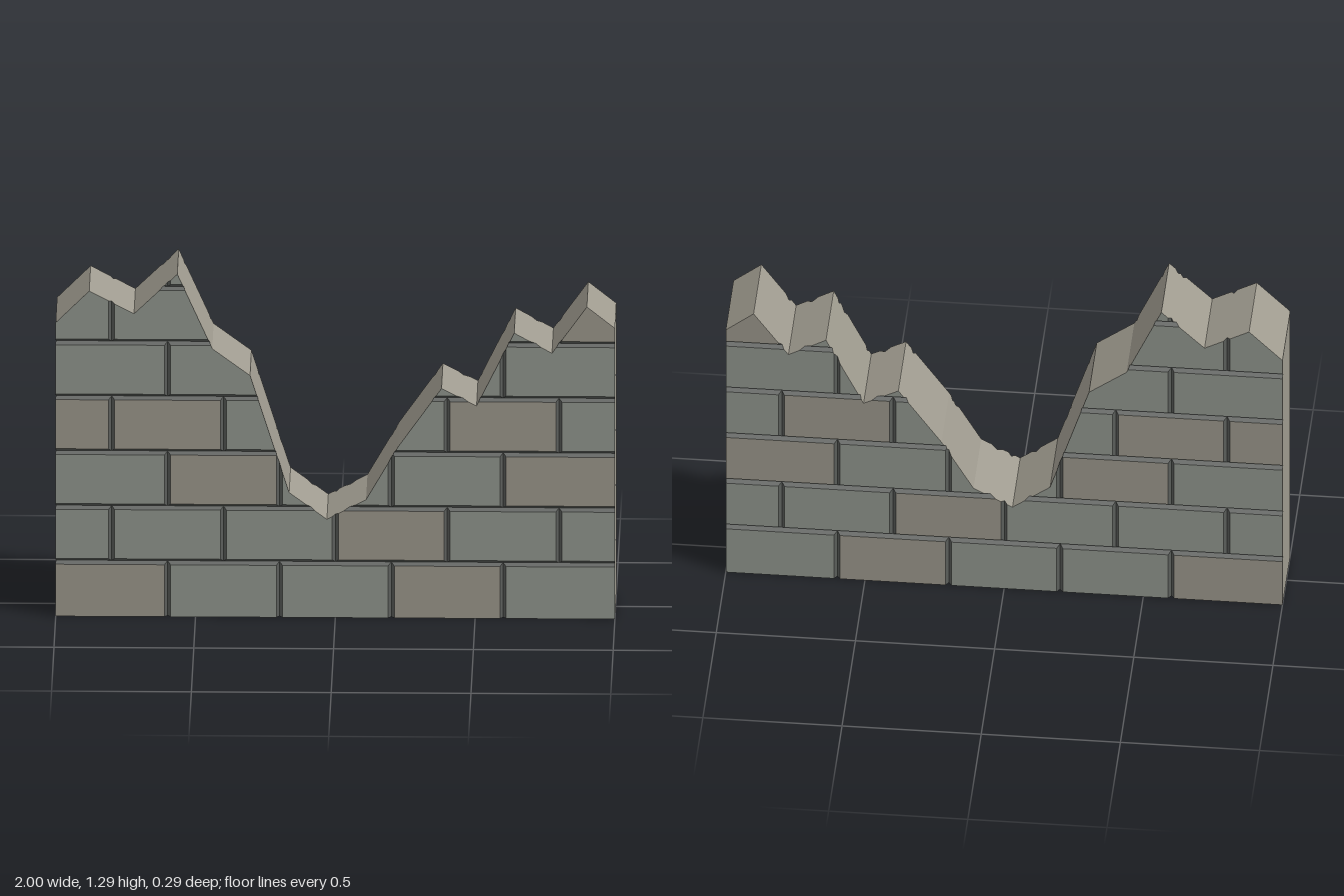
import * as THREE from 'three';

const HALF_DEPTH = 0.145, COURSE = 0.2066, BRICK = 0.4, BEVEL = 0.011, GROOVE = 0.015;

// Jagged broken top edge of the wall, left to right
const RIM = [
  [-1, 1.105], [-0.88, 1.225], [-0.72, 1.14], [-0.565, 1.29], [-0.44, 1.01], [-0.305, 0.91],
  [-0.165, 0.47], [-0.03, 0.37], [0.11, 0.445], [0.225, 0.645], [0.38, 0.865], [0.505, 0.8],
  [0.64, 1.075], [0.775, 1.0], [0.9, 1.175], [1, 1.095],
];

// Tan bricks by index within each course; the others are grey
const TAN = [[0, 3], [3], [1, 4], [0, 1, 4], [], [5], []];

// Keep the part of a convex polygon where side(p) >= 0
function clip(poly, side) {
  const out = [];
  poly.forEach((p, i) => {
    const q = poly[(i + 1) % poly.length], a = side(p), b = side(q);
    if (a >= 0) out.push(p);
    if ((a > 0 && b < 0) || (a < 0 && b > 0)) {
      const t = a / (a - b);
      out.push(p.map((v, k) => v + (q[k] - v) * t));
    }
  });
  return out;
}

function area(poly) {
  return poly.reduce((sum, p, i) => {
    const q = poly[(i + 1) % poly.length];
    return sum + (p[0] * q[1] - q[0] * p[1]) / 2;
  }, 0);
}

function fan(target, poly) {
  for (let i = 1; i < poly.length - 1; i++) target.push(...poly[0], ...poly[i], ...poly[i + 1]);
}

const flip = ([x, y, z]) => [x, y, -z];

// Add a front panel and its back mirror, cut by the rim; close the outer edges through the wall
function addPanel(target, core, panel) {
  for (let s = 0; s < RIM.length - 1; s++) {
    const [ax, ay] = RIM[s], [bx, by] = RIM[s + 1];
    const below = (p) => ay + (by - ay) * (p[0] - ax) / (bx - ax) - p[1];
    let poly = clip(panel, (p) => p[0] - ax);
    poly = clip(poly, (p) => bx - p[0]);
    poly = clip(poly, below);
    if (poly.length < 3 || area(poly) < 1e-8) continue;
    fan(target, poly);
    fan(target, poly.map(flip).reverse());

    const borders = [below, (p) => p[0] - 1, (p) => p[0] + 1, (p) => p[1]];
    poly.forEach((p, i) => {
      const q = poly[(i + 1) % poly.length];
      if (Math.hypot(p[0] - q[0], p[1] - q[1]) < 1e-6) return;
      if (borders.some((f) => Math.abs(f(p)) < 1e-6 && Math.abs(f(q)) < 1e-6)) {
        fan(core, [p, flip(p), flip(q), q]);
      }
    });
  }
}

// One brick: flat face plus four mitred slopes running into the joints
function addBrick(face, joint, core, x0, x1, y0, y1) {
  const l = x0 > -1 ? BEVEL : 0, r = x1 < 1 ? BEVEL : 0, b = y0 > 0 ? BEVEL : 0;
  const zi = HALF_DEPTH, zo = HALF_DEPTH - GROOVE;
  const inner = [[x0 + l, y0 + b, zi], [x1 - r, y0 + b, zi], [x1 - r, y1 - BEVEL, zi], [x0 + l, y1 - BEVEL, zi]];
  const outer = [[x0, y0, zo], [x1, y0, zo], [x1, y1, zo], [x0, y1, zo]];
  addPanel(face, core, inner);
  const open = [b, r, BEVEL, l];
  for (let i = 0; i < 4; i++) {
    const j = (i + 1) % 4;
    if (open[i]) addPanel(joint, core, [outer[i], outer[j], inner[j], inner[i]]);
  }
}

function makeMesh(name, positions, color) {
  const geometry = new THREE.BufferGeometry();
  geometry.setAttribute('position', new THREE.Float32BufferAttribute(positions, 3));
  geometry.computeVertexNormals();
  const mesh = new THREE.Mesh(geometry, new THREE.MeshStandardMaterial({ color, flatShading: true }));
  mesh.name = name;
  return mesh;
}

export function createModel() {
  const grey = [], tan = [], joints = [], core = [];

  // Courses in running bond: odd courses start with a half brick
  TAN.forEach((tanList, row) => {
    const odd = row % 2;
    for (let i = 0; i < 5 + odd; i++) {
      const start = -1 + (i - odd / 2) * BRICK;
      const x0 = Math.max(-1, start), x1 = start + BRICK > 0.999 ? 1 : start + BRICK;
      addBrick(tanList.includes(i) ? tan : grey, joints, core, x0, x1, row * COURSE, (row + 1) * COURSE);
    }
  });

  const wall = new THREE.Group();
  wall.name = 'brokenBrickWall';
  wall.add(
    makeMesh('greyBricks', grey, 0x8f948c),
    makeMesh('tanBricks', tan, 0x9a968a),
    makeMesh('mortarJoints', joints, 0x5a5d5a),
    makeMesh('brokenCore', core, 0x9f9b8f),
  );
  return wall;
}
